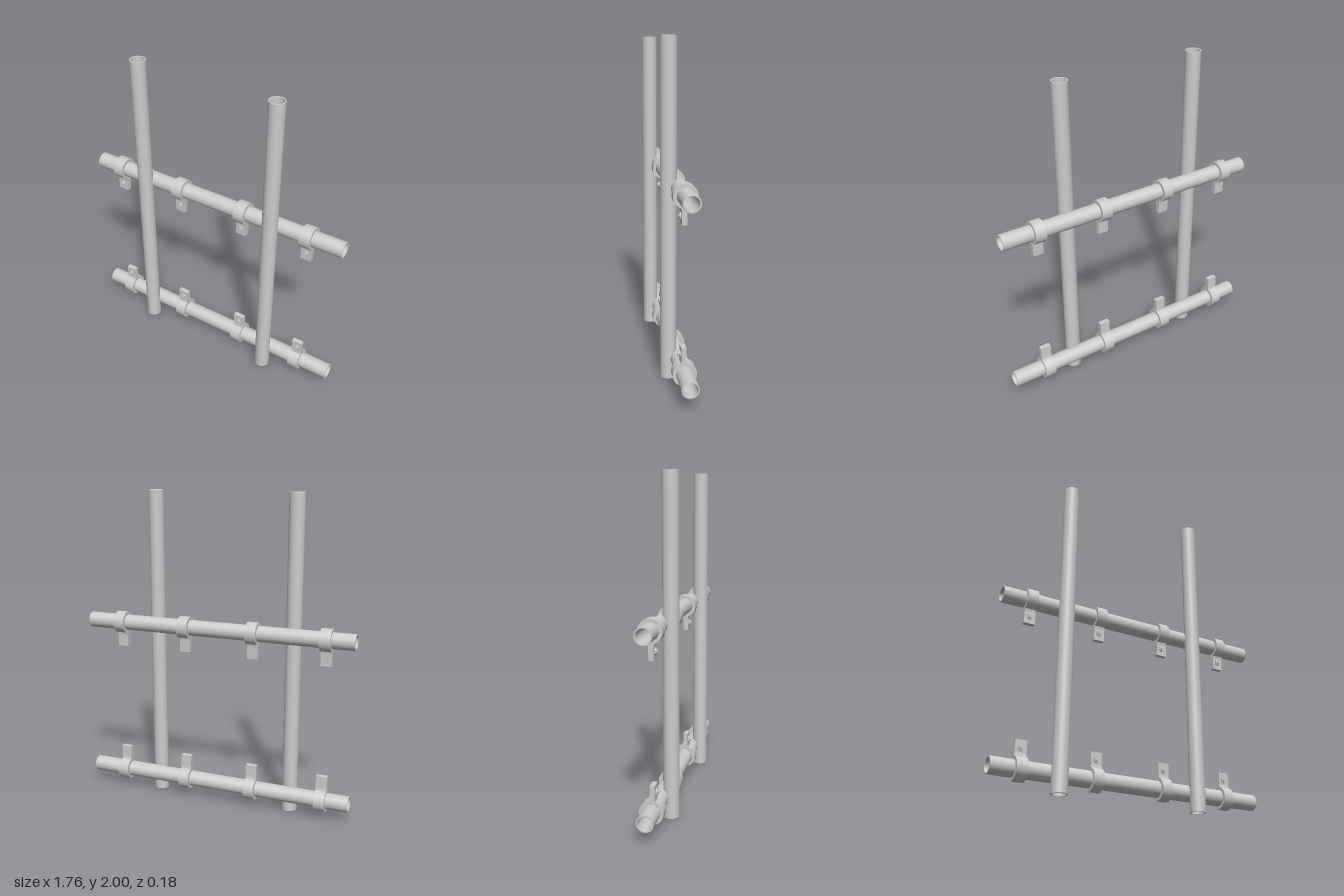
import * as THREE from 'three';

const material = new THREE.MeshStandardMaterial({ color: 0xcccccc });

const POST_R = 0.048, RAIL_R = 0.05, CLAMP_R = 0.07, CLAMP_W = 0.069;
const RAIL_Z = -0.016, POST_Z = 0.042;

function add(parent, name, geometry, x = 0, y = 0, z = 0) {
  const mesh = new THREE.Mesh(geometry, material);
  mesh.name = name;
  mesh.position.set(x, y, z);
  parent.add(mesh);
  return mesh;
}

// Hollow tube along y, centred; each corner is doubled to keep the rims sharp
function tubeGeometry(outer, inner, length) {
  const h = length / 2;
  const corners = [[inner, -h], [outer, -h], [outer, h], [inner, h], [inner, -h]];
  const points = [];
  for (let i = 0; i < 4; i++) {
    const a = new THREE.Vector2(...corners[i]), b = new THREE.Vector2(...corners[i + 1]);
    // tiny inset separates the normals of neighbouring faces
    points.push(a.clone().lerp(b, 0.001), b.clone().lerp(a, 0.001));
  }
  points.push(points[0].clone());
  return new THREE.LatheGeometry(points, 40);
}

// Flat lug: a side profile in (z, y) extruded along x; dir is -1 (down) or 1 (up)
function lugGeometry(dir, length) {
  const start = RAIL_R + 0.008, end = CLAMP_R + length;
  const profile = [
    [0.025, start], [0.021, CLAMP_R + 0.014], [0.021, end],
    [-0.008, end], [-0.01, CLAMP_R + 0.014], [-0.014, start],
  ].map(([z, y]) => new THREE.Vector2(z, y * dir));
  const geometry = new THREE.ExtrudeGeometry(new THREE.Shape(profile), { depth: CLAMP_W, bevelEnabled: false });
  geometry.translate(0, 0, -CLAMP_W / 2);
  geometry.rotateY(-Math.PI / 2);
  return geometry;
}

// Pipe clamp: ring, lug and hexagonal bolt
function makeClamp(dir) {
  const clamp = new THREE.Group();
  clamp.name = 'pipeClamp';
  const ring = add(clamp, 'clampRing', tubeGeometry(CLAMP_R, RAIL_R - 0.001, CLAMP_W));
  ring.rotation.z = Math.PI / 2;
  add(clamp, 'clampLug', lugGeometry(dir, 0.09));

  const boltY = dir * 0.114;
  const head = new THREE.CylinderGeometry(0.021, 0.021, 0.01, 6).toNonIndexed();
  head.computeVertexNormals();
  add(clamp, 'boltHead', head, 0, boltY, 0.025).rotation.x = Math.PI / 2;
  const tip = new THREE.CylinderGeometry(0.011, 0.012, 0.016, 20);
  add(clamp, 'boltTip', tip, 0, boltY, 0.029).rotation.x = Math.PI / 2;
  return clamp;
}

export function createModel() {
  const model = new THREE.Group();
  model.name = 'pipeFrame';

  // Upright posts
  for (const x of [-0.486, 0.423]) {
    add(model, 'post', tubeGeometry(POST_R, 0.041, 2), x, 1, POST_Z);
  }

  // Horizontal rails, each with four clamps whose lugs face one another
  for (const [y, dir] of [[1.153, -1], [0.124, 1]]) {
    const rail = add(model, 'rail', tubeGeometry(RAIL_R, 0.042, 1.764), 0, y, RAIL_Z);
    rail.rotation.z = Math.PI / 2;
    for (const x of [-0.706, -0.245, 0.208, 0.653]) {
      const clamp = makeClamp(dir);
      clamp.position.set(x, y, RAIL_Z);
      model.add(clamp);
    }
  }
  return model;
}
